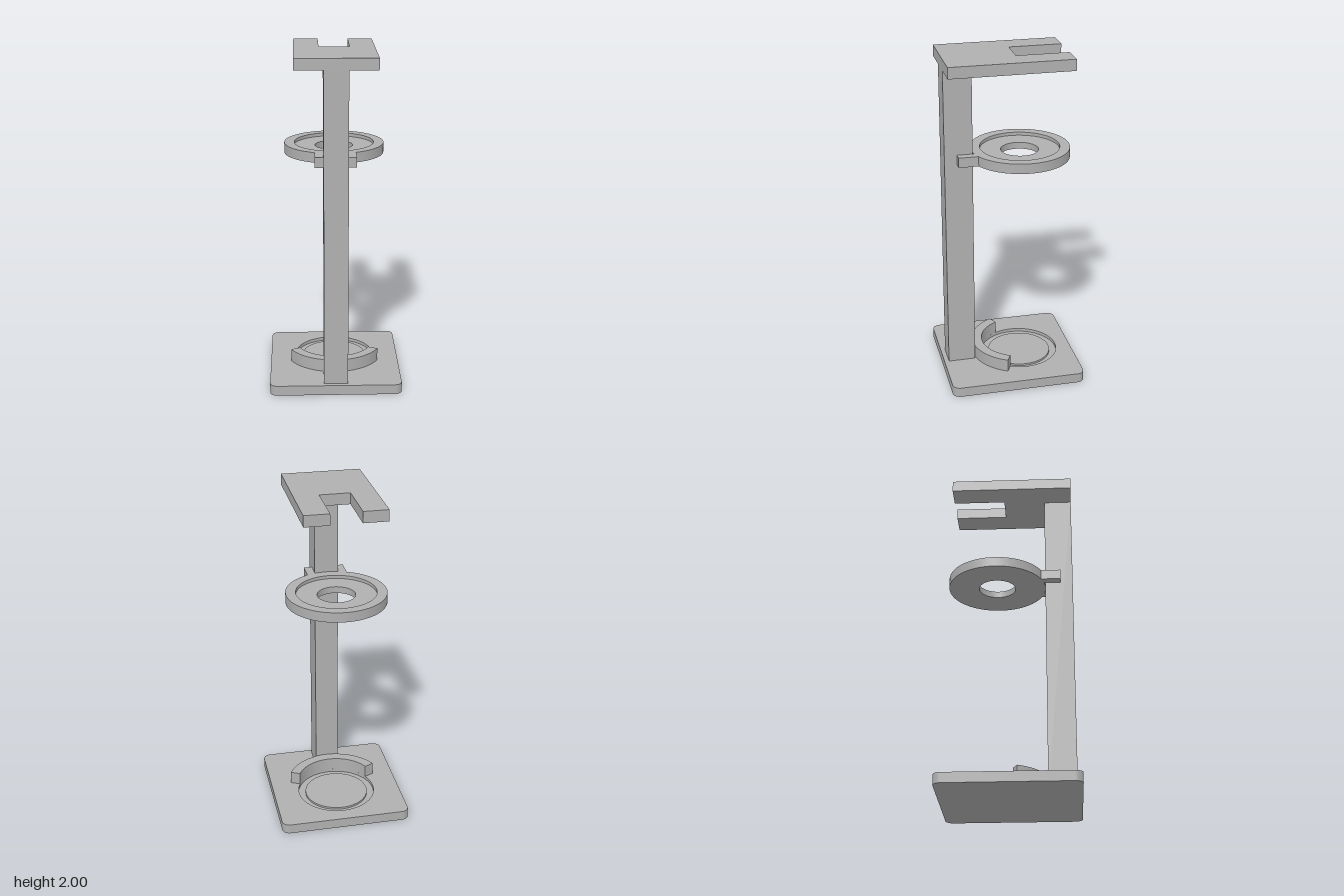
import * as THREE from 'three';
import { toCreasedNormals } from 'three/addons/utils/BufferGeometryUtils.js';

const RING_Z = -0.083; // shared centre of the ring, the recess and the curved wall
const RIM_OUT = 0.296, RIM_IN = 0.236;

export function createModel() {
  const group = new THREE.Group();
  const grey = new THREE.MeshStandardMaterial({ color: 0xb0b0b0 });
  grey.name = 'grey';

  const add = (name, geometry) => {
    const mesh = new THREE.Mesh(geometry, grey);
    mesh.name = name;
    group.add(mesh);
  };
  // Extrude a plan shape (x, z) between two heights
  const slab = (name, shape, y0, y1) => {
    const g = new THREE.ExtrudeGeometry(shape, { depth: y1 - y0, bevelEnabled: false, curveSegments: 48 });
    g.rotateX(Math.PI / 2).translate(0, y1, 0);
    add(name, toCreasedNormals(g, 0.5));
  };
  const box = (name, x0, x1, y0, y1, z0, z1) => {
    const g = new THREE.BoxGeometry(x1 - x0, y1 - y0, z1 - z0);
    add(name, g.translate((x0 + x1) / 2, (y0 + y1) / 2, (z0 + z1) / 2));
  };
  const circle = (r, Kind = THREE.Shape) => new Kind().absarc(0, RING_Z, r, 0, Math.PI * 2, false);
  const annulus = (rOut, rIn) => {
    const s = circle(rOut);
    s.holes.push(circle(rIn, THREE.Path));
    return s;
  };

  // Rounded base plate with a circular recess
  const w = 0.392, d = 0.407, r = 0.045;
  const plate = new THREE.Shape();
  plate.absarc(w - r, d - r, r, 0, Math.PI / 2, false);
  plate.absarc(r - w, d - r, r, Math.PI / 2, Math.PI, false);
  plate.absarc(r - w, r - d, r, Math.PI, Math.PI * 1.5, false);
  plate.absarc(w - r, r - d, r, Math.PI * 1.5, Math.PI * 2, false);
  plate.closePath();
  plate.holes.push(circle(RIM_IN, THREE.Path));
  slab('basePlate', plate, 0, 0.06);
  slab('recessFloor', circle(RIM_IN), 0, 0.04);
  slab('recessPad', circle(0.193), 0.04, 0.052);

  // Curved wall cradling the recess in front of the column
  const a = THREE.MathUtils.degToRad(26);
  const wall = new THREE.Shape();
  wall.absarc(0, RING_Z, RIM_OUT, a, Math.PI - a, false);
  wall.absarc(0, RING_Z, RIM_IN, Math.PI - a, a, true);
  wall.closePath();
  slab('curvedWall', wall, 0.06, 0.137);

  // Column
  box('column', -0.071, 0.071, 0.06, 1.933, 0.213, 0.379);

  // Ring tray: raised rim around a lower floor with a central hole
  slab('ringRim', annulus(RIM_OUT, RIM_IN), 1.365, 1.425);
  slab('ringFloor', annulus(RIM_IN, 0.112), 1.365, 1.405);

  // Prongs gripping both sides of the column
  box('leftProng', 0.071, 0.12, 1.365, 1.425, 0.17, 0.305);
  box('rightProng', -0.12, -0.071, 1.365, 1.425, 0.17, 0.305);

  // Top plate with an open slot at the back
  const top = new THREE.Shape([
    [-0.237, 0.379], [-0.237, -0.35], [-0.09, -0.35], [-0.09, -0.037],
    [0.09, -0.037], [0.09, -0.35], [0.237, -0.35], [0.237, 0.379],
  ].map(([x, z]) => new THREE.Vector2(x, z)));
  slab('topPlate', top, 1.933, 2);

  return group;
}
